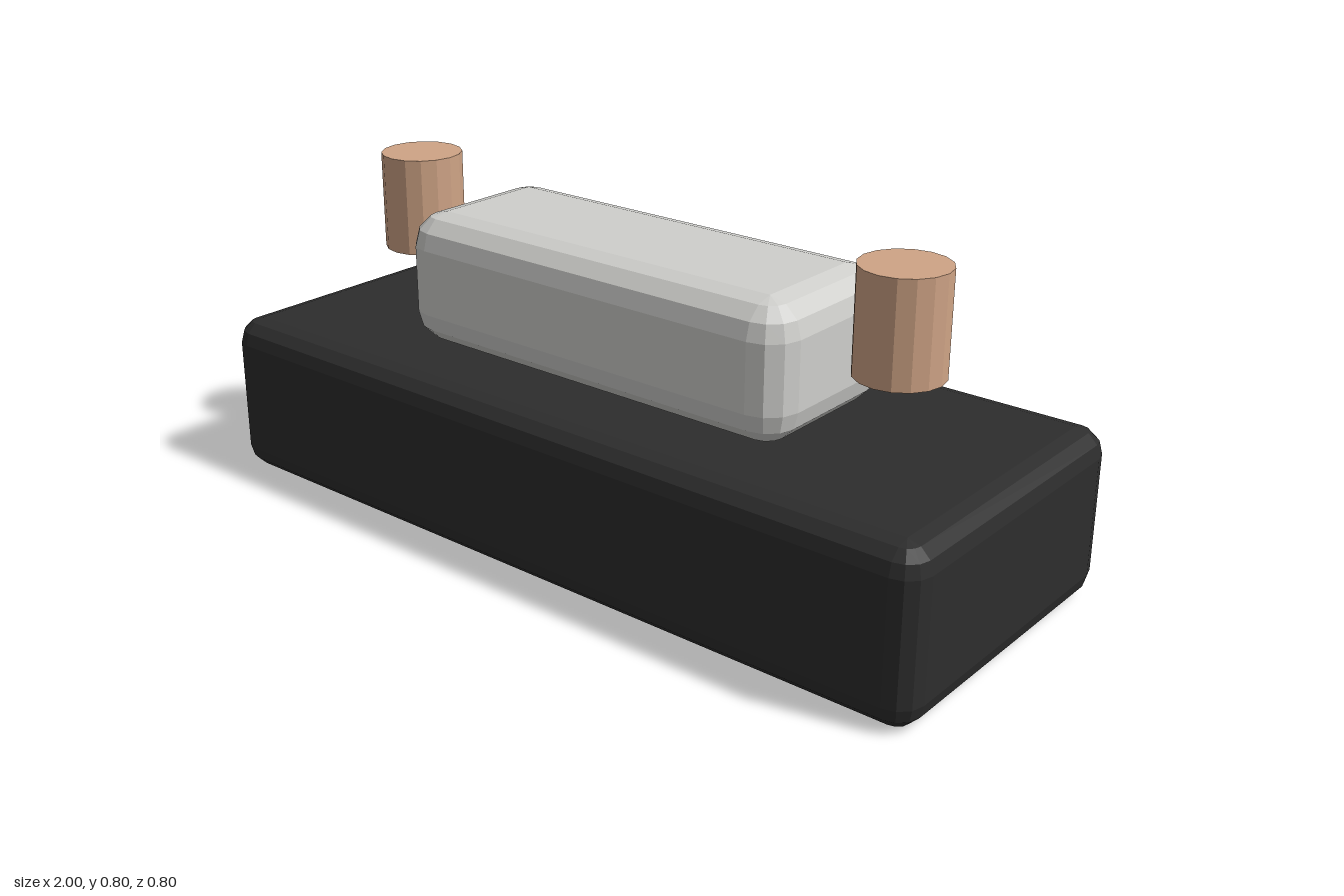
import * as THREE from 'three';

// Split faces so every facet is shaded flat
function faceted(geometry) {
  const flat = geometry.toNonIndexed();
  flat.computeVertexNormals();
  return flat;
}

// Box with all edges rounded in three even steps: a sphere pulled apart at its octants
function roundedBlock(width, height, depth, radius) {
  const geometry = new THREE.SphereGeometry(1, 16, 9);
  const pos = geometry.attributes.position;
  const step = Math.PI / 6;
  const cx = width / 2 - radius, cy = height / 2 - radius, cz = depth / 2 - radius;
  for (let row = 0, i = 0; row <= 9; row++) {
    for (let col = 0; col <= 16; col++, i++) {
      const side = row <= 4 ? 1 : -1;
      if (row === 0 || row === 9) {
        pos.setXYZ(i, 0, side * height / 2, 0);
        continue;
      }
      const quarter = Math.floor(col / 4) % 4;
      const around = quarter * Math.PI / 2 + (col % 4) * step;
      const down = (row <= 4 ? row - 1 : row - 2) * step;
      const sx = quarter === 1 || quarter === 2 ? 1 : -1;
      const sz = quarter < 2 ? 1 : -1;
      pos.setXYZ(i,
        sx * cx - radius * Math.cos(around) * Math.sin(down),
        side * cy + radius * Math.cos(down),
        sz * cz + radius * Math.sin(around) * Math.sin(down));
    }
  }
  return faceted(geometry);
}

export function createModel() {
  const model = new THREE.Group();
  model.name = 'model';

  const material = (name, color) => {
    const m = new THREE.MeshStandardMaterial({ color });
    m.name = name;
    return m;
  };
  const black = material('black', 0x2d2d2d);
  const silver = material('silver', 0xcfcfcc);
  const copper = material('copper', 0xcfa486);

  const add = (name, geometry, mat, x, y) => {
    const mesh = new THREE.Mesh(geometry, mat);
    mesh.name = name;
    mesh.position.set(x, y, 0);
    model.add(mesh);
  };

  // Base slab and the raised block on it
  add('base', roundedBlock(2, 0.4, 0.8, 0.06), black, 0, 0.2);
  add('block', roundedBlock(1.1, 0.32, 0.44, 0.08), silver, 0, 0.56);

  // Pair of posts floating above the base
  const post = faceted(new THREE.CylinderGeometry(0.1, 0.1, 0.24, 16));
  for (const side of [-1, 1]) {
    add(side > 0 ? 'leftPost' : 'rightPost', post, copper, side * 0.7, 0.68);
  }

  return model;
}
